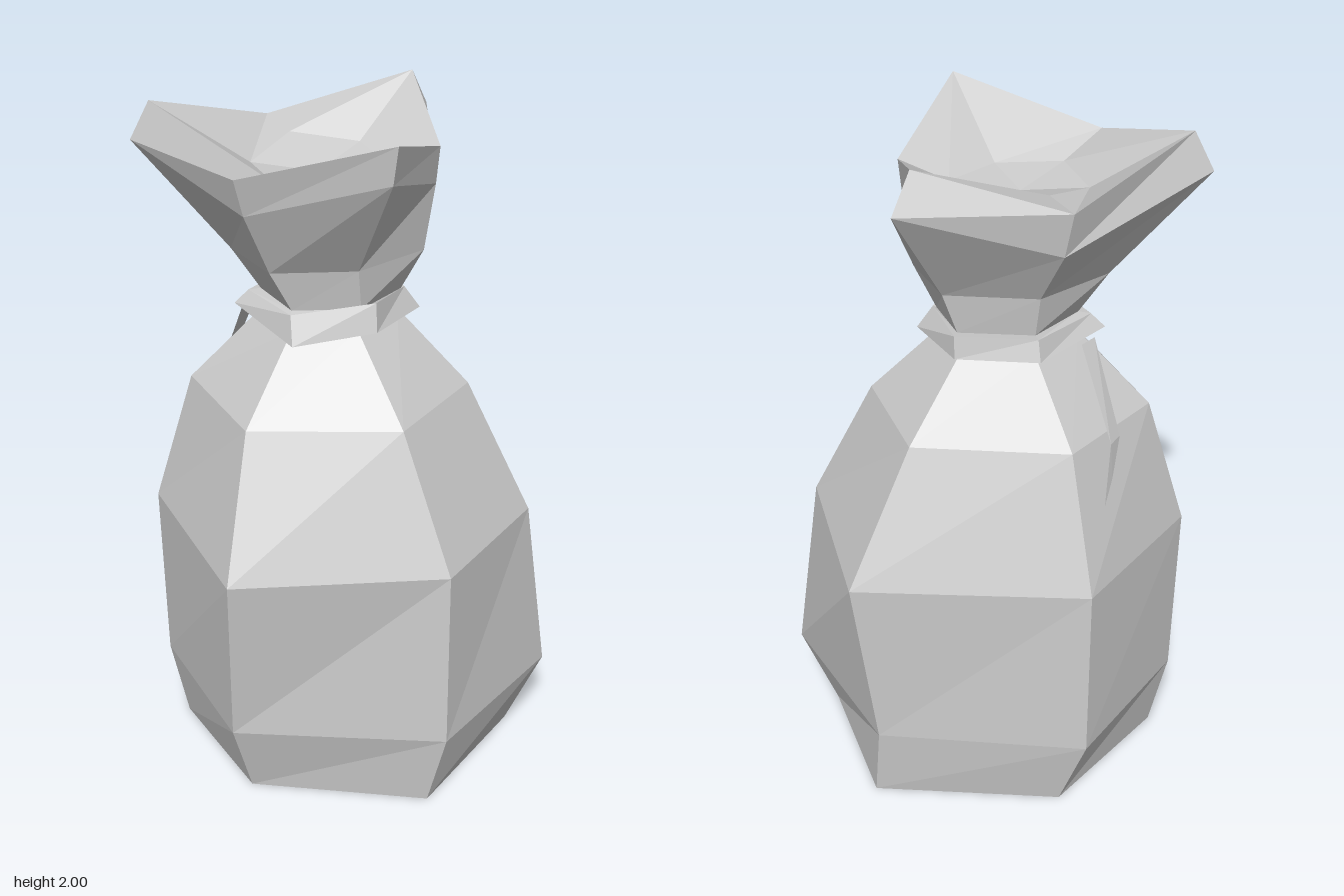
import * as THREE from 'three';

const cloth = new THREE.MeshStandardMaterial({ color: 0xcccccc });
cloth.name = 'light grey cloth';
cloth.flatShading = true;
cloth.side = THREE.DoubleSide;

// A ring of [x, z] corners at one height, or of [x, z, y] corners.
const ring = (y, corners) => corners.map(([x, z, cy = y]) => [x, cy, z]);

// Skins a stack of rings; optional centre points close the ends.
function loft(name, rings, startPoint, endPoint) {
  const pos = [];
  const tri = (a, b, c) => pos.push(...a, ...b, ...c);
  for (let r = 0; r < rings.length - 1; r++) {
    const a = rings[r], b = rings[r + 1], n = a.length;
    for (let i = 0; i < n; i++) {
      const j = (i + 1) % n;
      tri(a[i], a[j], b[j]);
      tri(a[i], b[j], b[i]);
    }
  }
  const cap = (loop, c, flip) => loop.forEach((p, i) => {
    const q = loop[(i + 1) % loop.length];
    flip ? tri(c, q, p) : tri(c, p, q);
  });
  if (startPoint) cap(rings[0], startPoint, true);
  if (endPoint) cap(rings[rings.length - 1], endPoint, false);
  const geo = new THREE.BufferGeometry();
  geo.setAttribute('position', new THREE.Float32BufferAttribute(pos, 3));
  geo.computeVertexNormals();
  const mesh = new THREE.Mesh(geo, cloth);
  mesh.name = name;
  return mesh;
}

export function createModel() {
  const group = new THREE.Group();
  group.name = 'tiedSack';

  // Corner order: front left, front right, right, back right, back left, left (as seen from the front)
  const neckLow = ring(1.4, [[-0.18, 0.12], [0, 0.14], [0.13, 0], [0.08, -0.15], [-0.12, -0.18], [-0.25, -0.05]]);
  const neckHigh = ring(1.46, [[-0.18, 0.12], [0.01, 0.135], [0.14, 0], [0.09, -0.15], [-0.12, -0.18], [-0.25, -0.05]]);

  // Full lower body
  group.add(loft('sackBody', [
    ring(0, [[-0.34, 0.31], [0.17, 0.445], [0.48, 0.08], [0.36, -0.355], [-0.19, -0.43], [-0.51, -0.09]]),
    ring(0.24, [[-0.395, 0.37], [0.215, 0.49], [0.585, 0.105], [0.345, -0.385], [-0.26, -0.485], [-0.56, -0.1]]),
    ring(0.79, [[-0.4, 0.455], [0.215, 0.48], [0.51, 0.125], [0.41, -0.405], [-0.26, -0.48], [-0.57, -0.1]]),
    ring(1.18, [[-0.325, 0.28], [0.1, 0.335], [0.33, 0.055], [0.23, -0.28], [-0.21, -0.345], [-0.455, -0.09]]),
    neckLow,
  ], [0, 0, 0]));

  // Flared mouth: outside up to the rim, then a shallow crumpled hollow inside
  group.add(loft('sackMouth', [
    neckHigh,
    ring(1.58, [[-0.24, 0.14], [0, 0.155], [0.2, 0.02], [0.13, -0.16], [-0.13, -0.2], [-0.33, -0.06]]),
    ring(1.89, [[-0.31, 0.21, 1.77], [0.06, 0.36], [0.225, 0.045, 1.78], [0.26, -0.335], [-0.18, -0.3, 1.75], [-0.59, -0.1]]),
    ring(2, [[-0.335, 0.235, 1.88], [0.07, 0.38], [0.235, 0.045, 1.885], [0.21, -0.29], [-0.2, -0.32, 1.88], [-0.535, -0.09]]),
    ring(1.83, [[-0.22, 0.13], [-0.03, 0.13], [0.1, 0.02], [0.04, -0.13, 1.85], [-0.15, -0.18, 1.87], [-0.27, -0.05]]),
  ], null, [-0.09, 1.81, -0.01]));

  // Tie wrapped round the neck, slightly tilted
  group.add(loft('neckTie', [
    neckLow,
    ring(1.4, [[-0.185, 0.175, 1.375], [0.05, 0.165], [0.195, 0, 1.4], [0.1, -0.19], [-0.13, -0.235, 1.405], [-0.325, -0.06, 1.415]]),
    ring(1.465, [[-0.185, 0.14, 1.455], [0.05, 0.145, 1.48], [0.15, 0], [0.1, -0.18], [-0.125, -0.215], [-0.285, -0.055, 1.455]]),
    neckHigh,
  ]));

  // Loose end of the tie hanging at the back, tapering into the body
  group.add(loft('tieEnd', [
    [[-0.25, 1.41, -0.15], [-0.29, 1.41, -0.11]],
    [[-0.325, 1.16, -0.27], [-0.355, 1.16, -0.225]],
    [[-0.305, 1, -0.34], [-0.33, 1.06, -0.29]],
  ]));

  return group;
}
